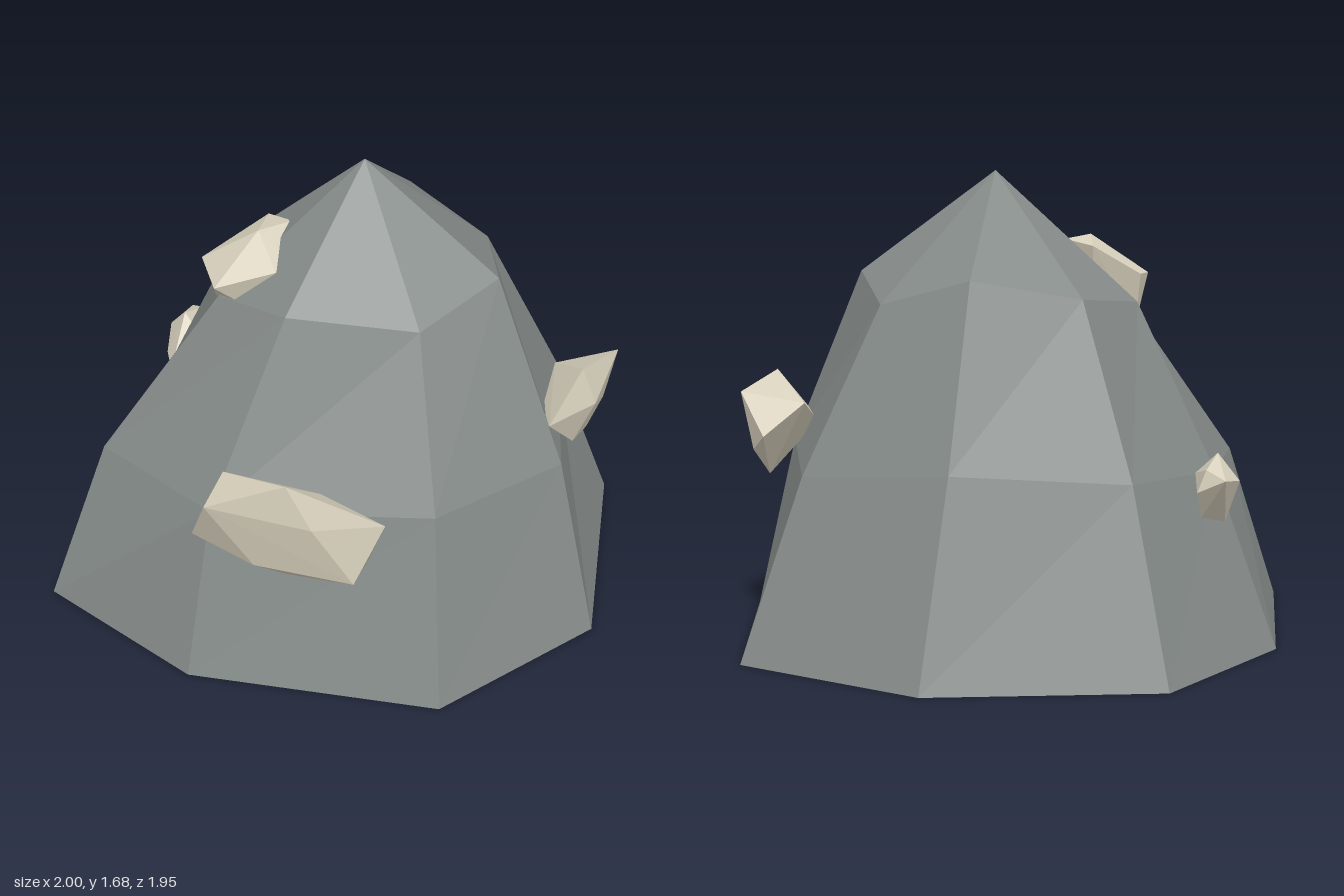
import * as THREE from 'three';
import { ConvexGeometry } from 'three/addons/geometries/ConvexGeometry.js';

// Irregular eight-sided rings [x, y, z], from the ground up
const RINGS = [
  [[0.13, 0, -0.98], [0.82, 0, -0.70], [1, 0, 0.17], [0.61, 0, 0.77],
    [-0.29, 0, 0.91], [-0.95, 0, 0.66], [-1, 0, -0.18], [-0.68, 0, -0.79]],
  [[0.07, 0.70, -0.76], [0.63, 0.64, -0.55], [0.83, 0.66, 0.10], [0.52, 0.69, 0.59],
    [-0.25, 0.63, 0.75], [-0.78, 0.60, 0.49], [-0.77, 0.63, -0.13], [-0.53, 0.66, -0.60]],
  [[0.04, 1.33, -0.52], [0.38, 1.23, -0.40], [0.54, 1.31, -0.01], [0.36, 1.24, 0.31],
    [-0.08, 1.28, 0.44], [-0.40, 1.20, 0.27], [-0.48, 1.22, -0.06], [-0.33, 1.26, -0.40]],
];
const APEX = [0.04, 1.68, -0.02];

// Corner points of the faceted nuggets set in the rock
const NUGGETS = {
  frontNugget: [
    [-0.26, 0.63, 0.88], [0.42, 0.80, 0.82], [0.11, 0.96, 0.93], [0.05, 0.46, 0.78],
    [-0.17, 0.83, 0.97], [0.33, 0.56, 0.73], [0.20, 0.80, 0.93], [-0.04, 0.63, 0.77],
    [-0.02, 0.58, 0.91], [0.18, 0.85, 0.79], [-0.17, 0.86, 0.80], [0.33, 0.57, 0.88]],
  upperNugget: [
    [-0.28, 1.44, 0.18], [-0.45, 1.12, 0.17], [-0.49, 1.30, 0.20], [-0.17, 1.36, 0.20],
    [-0.20, 1.43, 0.06], [-0.31, 1.41, 0.01], [-0.38, 1.28, 0.35], [-0.30, 1.20, 0.29],
    [-0.47, 1.30, 0.13], [-0.18, 1.34, 0.27], [-0.30, 1.12, 0.10]],
  leftNugget: [
    [0.81, 0.75, -0.40], [0.91, 0.90, -0.33], [0.84, 0.95, -0.09], [0.89, 0.80, -0.11],
    [0.77, 0.79, 0.07], [0.71, 0.75, -0.02], [0.70, 0.85, -0.24], [0.83, 0.59, -0.25],
    [0.82, 0.63, -0.09], [0.87, 0.69, -0.32]],
  rightNugget: [
    [-0.79, 0.72, -0.27], [-0.76, 0.68, -0.39], [-0.83, 0.65, -0.43], [-0.87, 0.63, -0.31],
    [-0.84, 0.57, -0.20], [-0.78, 0.56, -0.10], [-0.71, 0.64, -0.24], [-0.82, 0.48, -0.29],
    [-0.74, 0.50, -0.33], [-0.73, 0.60, -0.40]],
};

function rockGeometry() {
  const pos = [];
  const tri = (...pts) => pts.forEach((p) => pos.push(...p));
  const n = RINGS[0].length;
  for (let i = 0; i < n; i++) {
    const j = (i + 1) % n;
    // Side panels
    for (let r = 0; r < RINGS.length - 1; r++) {
      const low = RINGS[r], high = RINGS[r + 1];
      tri(low[j], low[i], high[i]);
      tri(low[j], high[i], high[j]);
    }
    // Peak and underside
    const top = RINGS[RINGS.length - 1];
    tri(top[j], top[i], APEX);
    tri([0, 0, 0], RINGS[0][i], RINGS[0][j]);
  }
  const geometry = new THREE.BufferGeometry();
  geometry.setAttribute('position', new THREE.Float32BufferAttribute(pos, 3));
  geometry.computeVertexNormals();
  return geometry;
}

export function createModel() {
  const group = new THREE.Group();
  group.name = 'oreRock';
  const stone = new THREE.MeshStandardMaterial({ color: 0x868c8a, flatShading: true });
  const ore = new THREE.MeshStandardMaterial({ color: 0xd8d1bd, flatShading: true });

  const rock = new THREE.Mesh(rockGeometry(), stone);
  rock.name = 'rock';
  group.add(rock);

  for (const [name, points] of Object.entries(NUGGETS)) {
    const corners = points.map((p) => new THREE.Vector3(...p));
    const nugget = new THREE.Mesh(new ConvexGeometry(corners), ore);
    nugget.name = name;
    group.add(nugget);
  }
  return group;
}
